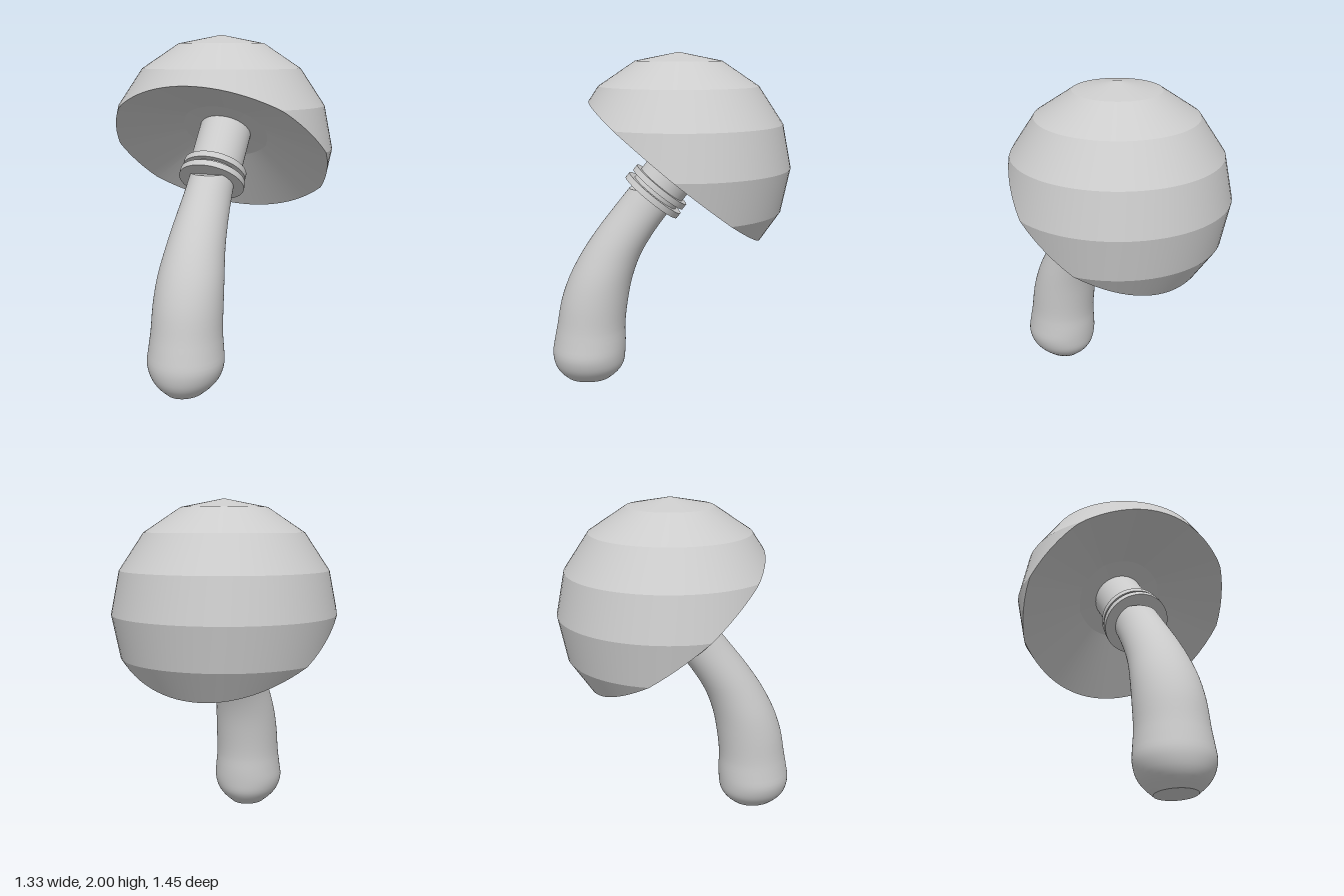
import * as THREE from 'three';
import { mergeGeometries } from 'three/addons/utils/BufferGeometryUtils.js';

const SEG = 72;
const TILT = THREE.MathUtils.degToRad(39);
const AXIS = new THREE.Vector3(0, Math.cos(TILT), -Math.sin(TILT));
const CUT = new THREE.Vector3(0, 1.311, -0.03); // centre of the cap's open side
const CAP = new THREE.Vector3(0, 1.335, -0.055);
const R = 0.665;

// Closed strip of rings; rows run from the lower to the upper ring.
function loft(rowCount, pointAt) {
  const pos = [], index = [];
  for (let i = 0; i < rowCount; i++) {
    for (let j = 0; j < SEG; j++) pos.push(...pointAt(i, (j / SEG) * Math.PI * 2).toArray());
  }
  for (let i = 0; i < rowCount - 1; i++) {
    for (let j = 0; j < SEG; j++) {
      const k = (j + 1) % SEG;
      const a = i * SEG + j, b = i * SEG + k, c = b + SEG, d = a + SEG;
      index.push(a, b, c, a, c, d);
    }
  }
  const g = new THREE.BufferGeometry();
  g.setAttribute('position', new THREE.Float32BufferAttribute(pos, 3));
  g.setIndex(index);
  g.computeVertexNormals();
  return g;
}

// Point on the cap's banded sphere
function capPoint(i, phi) {
  const t = (i * Math.PI) / 8, r = R * Math.sin(t);
  return new THREE.Vector3(r * Math.sin(phi), R * Math.cos(t), r * Math.cos(phi)).add(CAP);
}
const height = (p) => p.clone().sub(CUT).dot(AXIS);

// Where a meridian meets the slanted cut
function rimPoint(phi) {
  for (let i = 0; i < 8; i++) {
    const a = capPoint(i, phi), b = capPoint(i + 1, phi);
    const ha = height(a), hb = height(b);
    if (ha >= 0 && hb < 0) return a.lerp(b, ha / (ha - hb));
  }
  return CUT.clone();
}
function cutCapPoint(i, phi) {
  const p = capPoint(i, phi);
  return height(p) >= 0 ? p : rimPoint(phi);
}

// Dome: each latitude band has its own normals, so the bands stay crisp
function domeGeometry() {
  const bands = [];
  for (let i = 0; i < 7; i++) bands.push(loft(2, (k, phi) => cutCapPoint(i + 1 - k, phi)));
  return mergeGeometries(bands);
}

// Underside: shallow cone with a nearly flat centre, as [scale, depth]
function undersideGeometry() {
  const rows = [[0, 0.16], [0.4, 0.145], [1, 0]];
  const at = ([s, d], phi) => CUT.clone().lerp(rimPoint(phi), s).addScaledVector(AXIS, d);
  return mergeGeometries([0, 1].map((n) => loft(2, (k, phi) => at(rows[n + k], phi))));
}

// Stem: level oval sections [y, back z, front z, half width]
function stemGeometry() {
  const sections = [
    [0, 0.37, 0.64, 0.11], [0.05, 0.315, 0.69, 0.165], [0.1, 0.285, 0.715, 0.2],
    [0.17, 0.275, 0.725, 0.22], [0.25, 0.272, 0.713, 0.214], [0.35, 0.273, 0.693, 0.204],
    [0.5, 0.255, 0.665, 0.2], [0.65, 0.225, 0.613, 0.19], [0.8, 0.17, 0.535, 0.17],
    [0.95, 0.08, 0.435, 0.152], [1.08, -0.015, 0.335, 0.138], [1.2, -0.1, 0.24, 0.13],
  ];
  const depth = new THREE.CatmullRomCurve3(sections.map(([y, b, f]) => new THREE.Vector3(y, b, f)));
  const width = new THREE.CatmullRomCurve3(sections.map(([y, , , w]) => new THREE.Vector3(y, w, 0)));
  const N = 34;
  const at = (t, phi, s = 1) => {
    const d = depth.getPoint(t), w = width.getPoint(t).y;
    return new THREE.Vector3(
      s * w * Math.sin(phi), d.x, (d.y + d.z) / 2 + s * ((d.z - d.y) / 2) * Math.cos(phi));
  };
  return mergeGeometries([
    loft(2, (k, phi) => at(0, phi, k)),
    loft(N, (i, phi) => at(i / (N - 1), phi)),
    loft(2, (k, phi) => at(1, phi, 1 - k)),
  ]);
}

export function createModel() {
  const group = new THREE.Group();
  const grey = new THREE.MeshStandardMaterial({ color: 0xcccccc });
  grey.name = 'light grey';

  const add = (parent, name, geometry) => {
    const mesh = new THREE.Mesh(geometry, grey);
    mesh.name = name;
    parent.add(mesh);
    return mesh;
  };

  add(group, 'capDome', domeGeometry());
  add(group, 'capUnderside', undersideGeometry());
  add(group, 'stem', stemGeometry());

  // Neck and its two collars share the cap's tilt
  const neck = new THREE.Group();
  neck.name = 'neckAssembly';
  neck.position.copy(CUT);
  neck.rotation.x = -TILT;
  group.add(neck);
  add(neck, 'neck', new THREE.CylinderGeometry(0.156, 0.156, 0.4, 64));
  for (const [name, y, r] of [['upperCollar', -0.136, 0.19], ['lowerCollar', -0.2, 0.197]]) {
    add(neck, name, new THREE.CylinderGeometry(r, r, 0.037, 64)).position.y = y;
  }
  return group;
}
